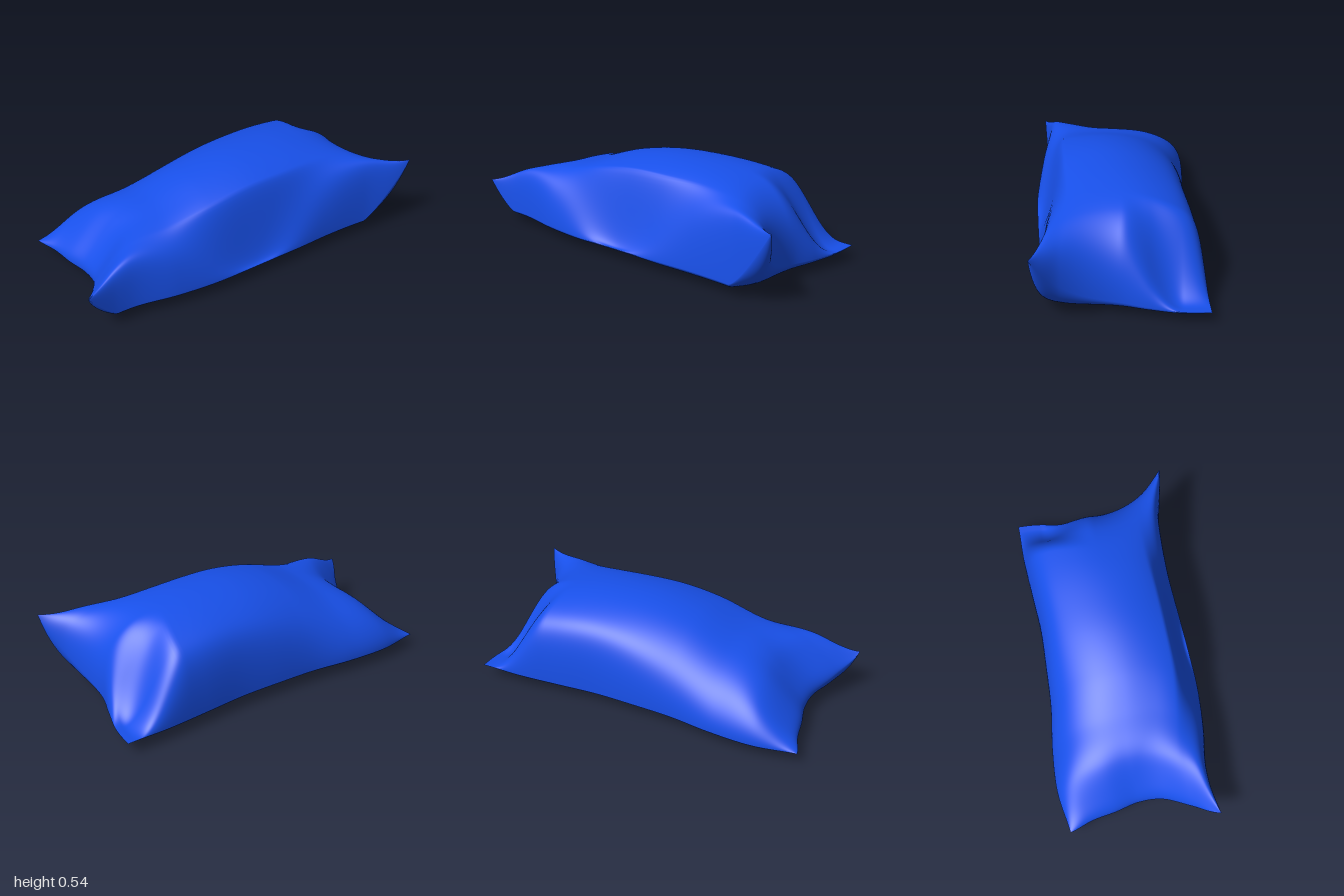
import * as THREE from 'three';

const { lerp, smoothstep, clamp } = THREE.MathUtils;

// Evenly spaced values joined by a smooth curve, read at t in 0..1
const spline = (values) => {
  const curve = new THREE.SplineCurve(values.map((v, i) => new THREE.Vector2(i, v)));
  return (t) => curve.getPoint(clamp(t, 0, 1)).y;
};

// Seam outline seen from above: z along the long edges, x along the short ends
const frontZ = spline([0.32, 0.32, 0.375, 0.41, 0.42, 0.425, 0.425, 0.445, 0.5]);
const backZ = spline([-0.48, -0.5, -0.475, -0.43, -0.405, -0.385, -0.385, -0.385, -0.37]);
const rightX = spline([-0.88, -0.845, -0.83, -0.81, -0.83, -0.91, -1]);
const leftX = spline([1, 0.98, 0.93, 0.88, 0.875, 0.91, 0.985]);
// Height of the stuffed crown along the length
const crownY = spline([0.24, 0.37, 0.42, 0.49, 0.53, 0.54, 0.53, 0.495, 0.42]);

const dome = (t, power, round = 0.5) => Math.pow(Math.max(0, 1 - Math.pow(Math.abs(t), power)), round);

// Position inside the four-sided outline (a: right to left, b: back to front)
function plan(a, b) {
  const u = (a + 1) / 2, v = (b + 1) / 2;
  return [
    lerp(rightX(v), leftX(v), u),
    lerp(backZ(u), frontZ(u), v),
  ];
}

// Seam height, with the two front corners pulled upward
function seamY(a, b) {
  const u = (a + 1) / 2, v = (b + 1) / 2;
  const left = clamp((u - 0.87) / 0.13, 0, 1) ** 1.3;
  const right = clamp((0.08 - u) / 0.08, 0, 1) ** 1.3;
  return 0.075 + 0.345 * left * v ** 5 + 0.165 * right * v ** 4;
}

// Ridge running from each front corner diagonally onto the crown
function ridgeFill(a, b) {
  const da = 1 - Math.abs(a), db = 1 - b, sum = da + db + 1e-6;
  const fan = Math.max(0, (4 * da * db) / (sum * sum));
  return fan * (1 - smoothstep(sum, 0.25, 1.1));
}

// Fullness towards the ends; the back left corner tapers to a thin flap
function endFill(a, b) {
  if (a < 0) return dome(a, 6);
  return lerp(dome(a, 11), 1 - smoothstep(a, 0.6, 0.96), smoothstep(-b, 0, 0.7));
}

// Fullness towards the long edges, with a soft lip along the middle of the front
function sideFill(a, b) {
  if (b < 0) return lerp(dome(b, 5), dome(b, 13), smoothstep(a, -0.7, 0.4));
  const lip = 1 - smoothstep(b, 0.62, 0.98);
  return lerp(dome(b, 6 + 4 * a * a, 0.65), lip, Math.exp(-((a / 0.42) ** 2)));
}

function topY(a, b, z) {
  const seam = seamY(a, b);
  const flatten = z > 0.03 ? 1 - a * a : 1 - 0.5 * smoothstep(-a, 0.2, 0.9);
  const crown = Math.max(seam, crownY((a + 1) / 2) - 0.8 * (z - 0.03) ** 2 * flatten);
  const hollow = (1 - endFill(a, b) * sideFill(a, b)) * (1 - ridgeFill(a, b));
  return lerp(crown, seam, hollow);
}

// Nearly flat underside resting on two shallow bulges
function bottomY(a, b) {
  const rest = 0.028 * Math.exp(-((a / 0.25) ** 2)) + 0.02 * Math.max(0, -b);
  return lerp(seamY(a, b), rest, dome(a, 6) * dome(b, 3, 0.6));
}

function sheet(name, direction, heightAt, material) {
  const geometry = new THREE.PlaneGeometry(2, 2, 140, 110).rotateX((-direction * Math.PI) / 2);
  const p = geometry.attributes.position;
  for (let i = 0; i < p.count; i++) {
    // Crowd the grid towards the seam, where the cloth turns tightly
    const a = Math.sin((p.getX(i) * Math.PI) / 2);
    const b = Math.sin((p.getZ(i) * Math.PI) / 2);
    const [x, z] = plan(a, b);
    p.setXYZ(i, x, heightAt(a, b, z), z);
  }
  geometry.computeVertexNormals();
  const mesh = new THREE.Mesh(geometry, material);
  mesh.name = name;
  return mesh;
}

export function createModel() {
  const group = new THREE.Group();
  group.name = 'pillow';
  const cloth = new THREE.MeshStandardMaterial({ color: 0x1850ea, side: THREE.DoubleSide });
  group.add(sheet('pillowTop', 1, topY, cloth), sheet('pillowUnderside', -1, bottomY, cloth));
  return group;
}
